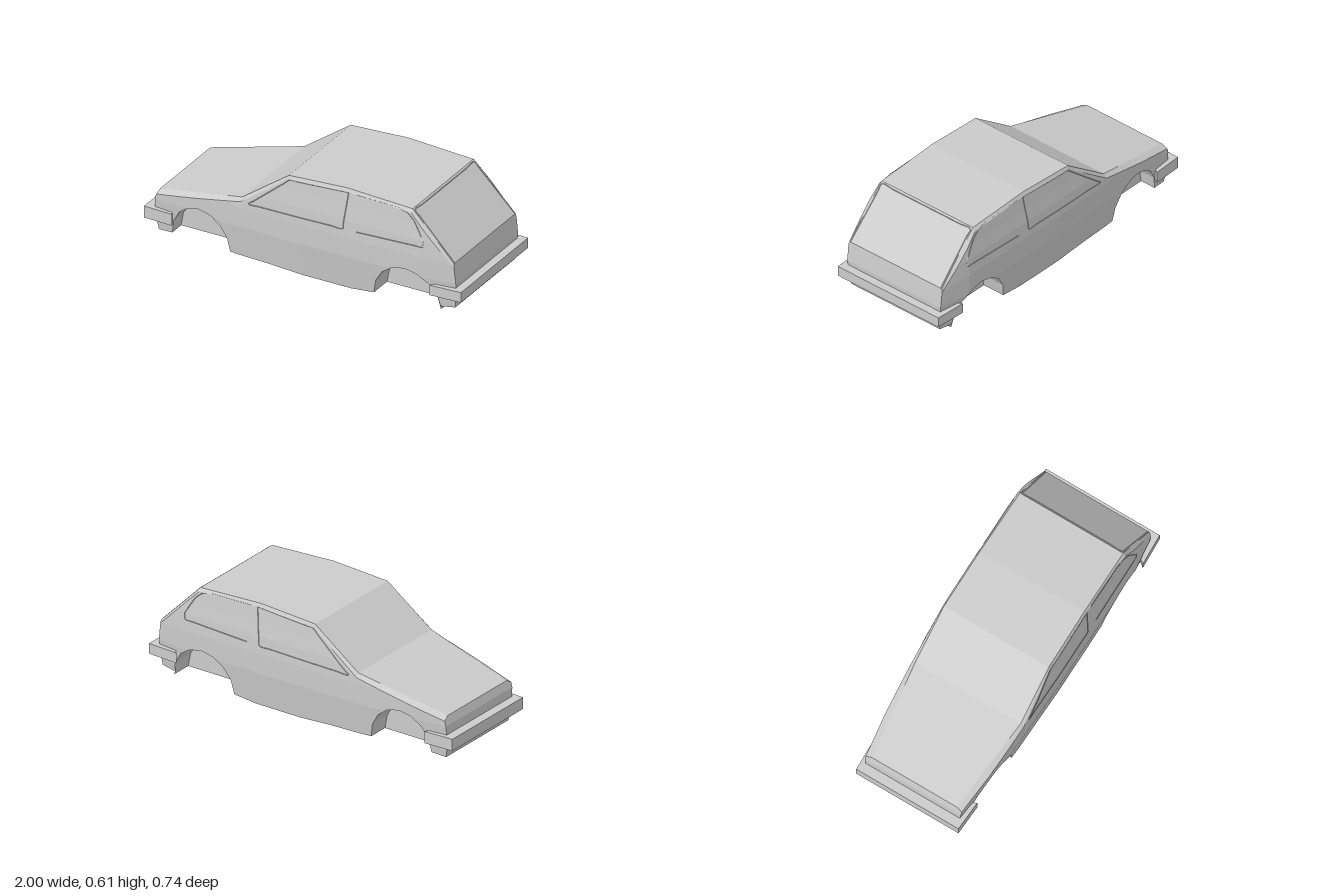
import * as THREE from 'three';

const paint = new THREE.MeshStandardMaterial({ color: 0xcccccc, flatShading: true, side: THREE.DoubleSide });

// Piecewise linear curve through [key, value] pairs
function lerpTable(table, t) {
  if (t <= table[0][0]) return table[0][1];
  for (let i = 1; i < table.length; i++) {
    const [a, va] = table[i - 1], [b, vb] = table[i];
    if (t <= b) return va + (vb - va) * (t - a) / (b - a);
  }
  return table[table.length - 1][1];
}

// Profiles along the length (nose at -x) and up the flank
const ROOF = [[-0.93, 0.25], [-0.38, 0.375], [-0.09, 0.585], [0.27, 0.605], [0.68, 0.585], [0.94, 0.32]];
const ROOF_HALF = [[-0.93, 0.27], [-0.38, 0.335], [-0.09, 0.333], [0.68, 0.328], [0.94, 0.332]];
const SILL = [[-0.93, 0.006], [-0.84, 0.015], [-0.46, 0.015], [-0.2, 0.01], [0, 0], [0.3, 0], [0.445, 0.015], [0.855, 0.035], [0.94, 0.045]];
const PLAN = [[-0.93, 0.84], [-0.7, 0.915], [-0.4, 0.975], [0, 1], [0.75, 1], [0.94, 0.925]];
const FLANK = [[0, 0.338], [0.2, 0.363], [0.32, 0.365], [0.42, 0.36], [0.5, 0.35], [0.585, 0.341]];
const NOSE = [[0.006, -0.93], [0.15, -0.955], [0.25, -0.93]];
const TAIL = [[0.045, 0.94], [0.18, 0.955], [0.32, 0.94]];
const ROWS = [0, 0.1, 0.2, 0.32, 0.42, 0.5, 1];

const ARCHES = [{ name: 'front', c: -0.65, r: 0.19 }, { name: 'rear', c: 0.65, r: 0.205 }];
const ARCH_STEPS = 8, ARCH_Y = 0.015, ARCH_H = 0.212, WELL_Z = 0.2;

const halfWidth = (x, y) => lerpTable(PLAN, x) * lerpTable(FLANK, y);

function archPoints({ c, r }) {
  const pts = [];
  for (let k = 0; k <= ARCH_STEPS; k++) {
    const a = Math.PI * k / ARCH_STEPS;
    pts.push([c + r * Math.cos(a), ARCH_Y + ARCH_H * Math.sin(a)]);
  }
  return pts;
}

// Collects quads, dropping collapsed triangles
class QuadBuilder {
  constructor() { this.pos = []; }
  tri(a, b, c) {
    const [A, B, C] = [a, b, c].map(p => new THREE.Vector3(...p));
    if (B.sub(A).cross(C.sub(A)).length() > 1e-8) this.pos.push(...a, ...b, ...c);
  }
  quad(a, b, c, d, flip = false) {
    if (flip) [b, d] = [d, b];
    this.tri(a, b, c);
    this.tri(a, c, d);
  }
  mesh(name) {
    const g = new THREE.BufferGeometry();
    g.setAttribute('position', new THREE.Float32BufferAttribute(this.pos, 3));
    g.computeVertexNormals();
    const m = new THREE.Mesh(g, paint);
    m.name = name;
    return m;
  }
}

// Hollow body: cross-sections along x, open underneath, cut by the arches
function bodyShell() {
  const archTable = ARCHES.map(a => archPoints(a).reverse());
  const keys = [...ROOF, ...SILL, ...PLAN, ...archTable.flat()].map(p => Math.round(p[0] * 1e4) / 1e4);
  const stations = [...new Set(keys)].sort((a, b) => a - b);
  const bottom = x => {
    let y = lerpTable(SILL, x);
    ARCHES.forEach((a, i) => { if (Math.abs(x - a.c) < a.r) y = Math.max(y, lerpTable(archTable[i], x)); });
    return y;
  };
  const sections = stations.map((x, i) => {
    const top = lerpTable(ROOF, x), lo = bottom(x), hi = top - 0.02;
    const endX = y => i === 0 ? lerpTable(NOSE, y) : i === stations.length - 1 ? lerpTable(TAIL, y) : x;
    const half = ROWS.map(r => {
      const y = Math.min(Math.max(r, lo), hi);
      return [endX(y), y, halfWidth(x, y)];
    });
    half.push([endX(top), top, lerpTable(ROOF_HALF, x)]);
    return [...half, ...half.map(([px, y, z]) => [px, y, -z]).reverse()];
  });
  const b = new QuadBuilder(), n = sections[0].length;
  for (let i = 0; i + 1 < sections.length; i++)
    for (let j = 0; j + 1 < n; j++)
      b.quad(sections[i][j], sections[i + 1][j], sections[i + 1][j + 1], sections[i][j + 1]);
  // Nose and tail panels
  [sections[0], sections[sections.length - 1]].forEach((s, e) => {
    for (let j = 0; j + 1 < n / 2; j++)
      b.quad(s[n - 1 - j], s[j], s[j + 1], s[n - 2 - j], e === 1);
  });
  return b.mesh('bodyShell');
}

// Half-round wheel well with its inner wall
function wheelWell(arch, side) {
  const b = new QuadBuilder(), pts = archPoints(arch), flip = side < 0;
  const outer = ([x, y]) => [x, y, side * halfWidth(x, y)];
  const inner = ([x, y]) => [x, y, side * WELL_Z];
  const hub = inner([arch.c, ARCH_Y]);
  for (let k = 0; k < ARCH_STEPS; k++) {
    const p = pts[k], q = pts[k + 1];
    b.quad(outer(p), outer(q), inner(q), inner(p), flip);
    b.quad(hub, inner(p), inner(q), hub, flip);
  }
  return b.mesh(`${arch.name}${side > 0 ? 'Left' : 'Right'}WheelWell`);
}

// U-shaped bumper wrapped round one end
function bumper(name, plan, y0, y1) {
  const pts = [...plan, ...plan.map(([x, z]) => [x, -z]).reverse()];
  const shape = new THREE.Shape(pts.map(p => new THREE.Vector2(...p)));
  const g = new THREE.ExtrudeGeometry(shape, { depth: y1 - y0, bevelEnabled: false });
  g.rotateX(-Math.PI / 2).translate(0, y0, 0);
  const m = new THREE.Mesh(g, paint);
  m.name = name;
  return m;
}

// Thin seam along a polyline laid on the body
function seam(name, points, place) {
  const fine = [];
  points.forEach(([u, v], i) => {
    const [pu, pv] = points[Math.max(i - 1, 0)];
    for (let k = i ? 1 : 8; k <= 8; k++) fine.push(place(pu + (u - pu) * k / 8, pv + (v - pv) * k / 8));
  });
  const curve = new THREE.CatmullRomCurve3(fine, false, 'centripetal');
  const m = new THREE.Mesh(new THREE.TubeGeometry(curve, 160, 0.002, 4), paint);
  m.name = name;
  return m;
}

export function createModel() {
  const car = new THREE.Group();
  car.name = 'hatchbackBody';
  car.add(bodyShell());

  // Bumpers: inner corner, inner end, outer end, outer corner
  car.add(bumper('frontBumper', [[-0.93, 0.27], [-0.835, 0.302], [-0.82, 0.333], [-1, 0.325]], 0.078, 0.148));
  car.add(bumper('rearBumper', [[0.935, 0.32], [0.835, 0.34], [0.81, 0.372], [1, 0.362]], 0.111, 0.172));

  const doorWindow = [[0.288, 0.585], [-0.08, 0.562], [-0.33, 0.355], [0.262, 0.367], [0.288, 0.585]];
  const quarterWindow = [[0.33, 0.585], [0.6, 0.578], [0.66, 0.56], [0.7, 0.525], [0.765, 0.42], [0.76, 0.385], [0.345, 0.368]];
  for (const side of [1, -1]) {
    const label = side > 0 ? 'left' : 'right';
    const place = (x, y) => new THREE.Vector3(x, y, side * halfWidth(x, y));
    car.add(seam(`${label}DoorWindowSeam`, doorWindow, place));
    car.add(seam(`${label}QuarterWindowSeam`, quarterWindow, place));
    for (const arch of ARCHES) car.add(wheelWell(arch, side));
  }

  // Tailgate glass outline, drawn in z and x on the sloping rear panel
  const glass = [[0.325, 0.938], [0.318, 0.69], [-0.318, 0.69], [-0.325, 0.938]];
  car.add(seam('rearWindowSeam', glass, (z, x) => new THREE.Vector3(x, lerpTable(ROOF, x), z)));
  return car;
}
